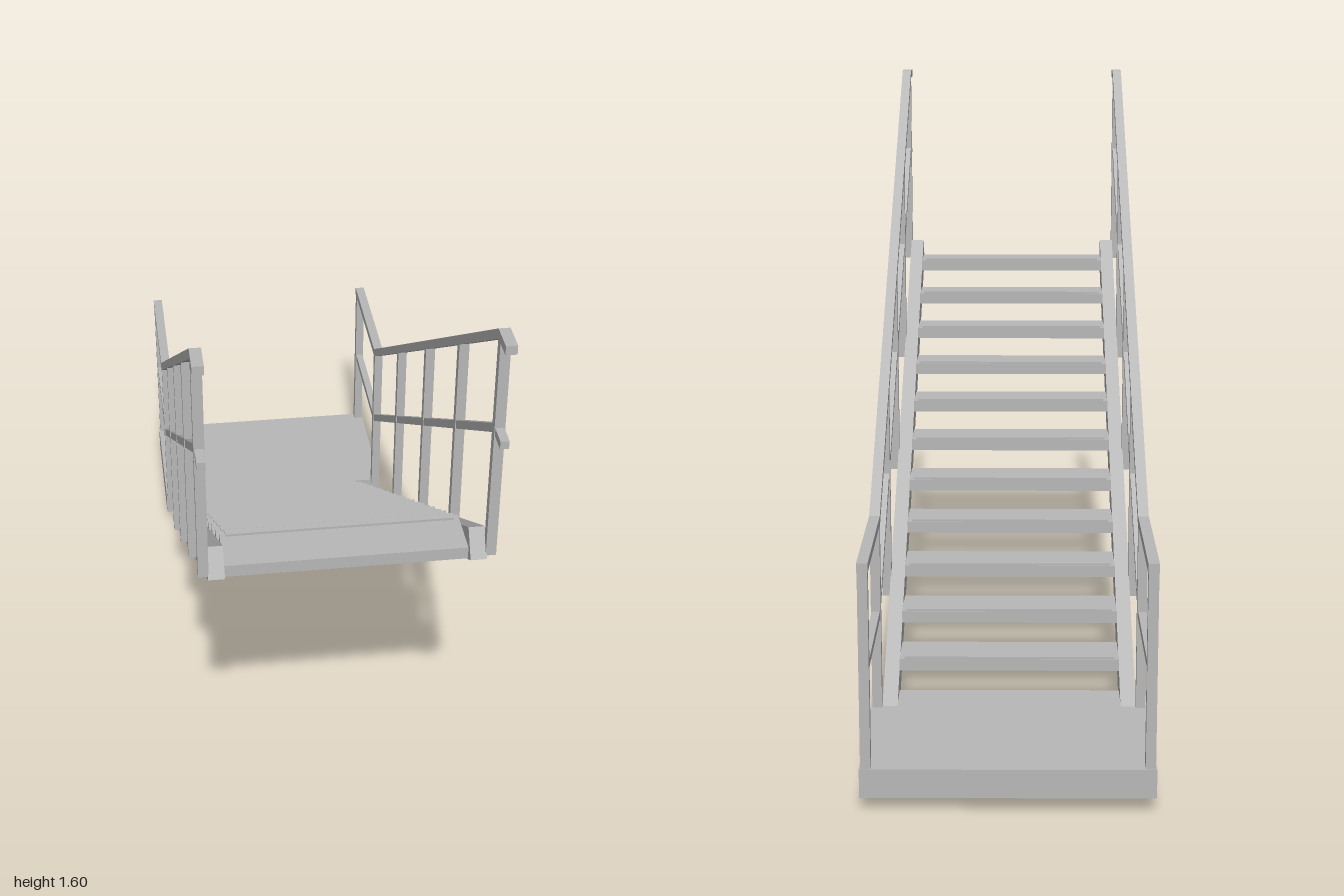
import * as THREE from 'three';

export function createModel() {
  const model = new THREE.Group();
  model.name = 'industrialStair';
  const steel = new THREE.MeshStandardMaterial({ color: 0xb8b8b8 });
  steel.name = 'grey steel';

  const add = (name, geometry) => {
    const mesh = new THREE.Mesh(geometry, steel);
    mesh.name = name;
    model.add(mesh);
  };

  // Box given by its limits on each axis
  const box = (name, x0, x1, y0, y1, z0, z1) => {
    const g = new THREE.BoxGeometry(x1 - x0, y1 - y0, z1 - z0);
    g.translate((x0 + x1) / 2, (y0 + y1) / 2, (z0 + z1) / 2);
    add(name, g);
  };

  // Side outline in [z, y] points, extruded across x
  const sidePlate = (name, points, x, width) => {
    const shape = new THREE.Shape(points.map(([z, y]) => new THREE.Vector2(z, y)));
    const g = new THREE.ExtrudeGeometry(shape, { depth: width, bevelEnabled: false });
    g.rotateY(-Math.PI / 2);
    g.translate(x + width / 2, 0, 0);
    add(name, g);
  };

  // Mitred outline of constant thickness around a [z, y] path
  const thicken = (path, thickness) => {
    const pts = path.map(([z, y]) => new THREE.Vector2(z, y));
    const normal = (a, b) => {
      const d = b.clone().sub(a).normalize();
      return new THREE.Vector2(-d.y, d.x);
    };
    const sideA = [], sideB = [];
    pts.forEach((p, i) => {
      const n0 = normal(pts[Math.max(i - 1, 0)], pts[Math.max(i, 1)]);
      const last = pts.length - 1;
      const n1 = normal(pts[Math.min(i, last - 1)], pts[Math.min(i + 1, last)]);
      const m = n0.clone().add(n1).normalize();
      m.multiplyScalar(thickness / 2 / m.dot(n0));
      sideA.push([p.x + m.x, p.y + m.y]);
      sideB.unshift([p.x - m.x, p.y - m.y]);
    });
    return [...sideA, ...sideB];
  };

  // Bottom landing
  box('landing', -0.343, 0.343, 0.036, 0.106, -1, -0.615);

  // Twelve open treads, each with a narrow raised nosing
  const rise = 0.0832, going = 0.129;
  for (let i = 0; i < 12; i++) {
    const top = 0.1 + i * rise, nose = -0.62 + i * going;
    box('tread', -0.28, 0.28, top - 0.031, top, nose, nose + 0.128);
    box('nosing', -0.267, 0.267, top - 0.002, top + 0.006, nose + 0.001, nose + 0.02);
  }

  // Rail centre lines: level start, slope, level run over the landing
  const topRail = [[1, 1.584], [0.93, 1.584], [-0.613, 0.588], [-0.997, 0.588]];
  const midRail = [[1, 1.344], [0.93, 1.344], [-0.613, 0.347], [-0.985, 0.347]];
  const railHeight = z =>
    z > -0.613 ? 0.588 + (Math.min(z, 0.93) + 0.613) * 0.6455 : 0.588;

  // Posts as [z, foot height]
  const posts = [[0.937, 1.005], [0.55, 0.76], [0.163, 0.513], [-0.223, 0.266],
    [-0.613, 0.1], [-0.986, 0.1]];

  for (const side of [-1, 1]) {
    const x = side * 0.328;
    sidePlate('stringer', [[-0.59, 0], [0.955, 1], [0.915, 1.064], [-0.63, 0.064]],
      side * 0.299, 0.038);
    sidePlate('topRail', thicken(topRail, 0.022), x, 0.026);
    sidePlate('midRail', thicken(midRail, 0.02), x, 0.02);
    for (const [z, foot] of posts)
      box('railPost', x - 0.012, x + 0.012, foot, railHeight(z), z - 0.011, z + 0.011);
  }
  return model;
}
